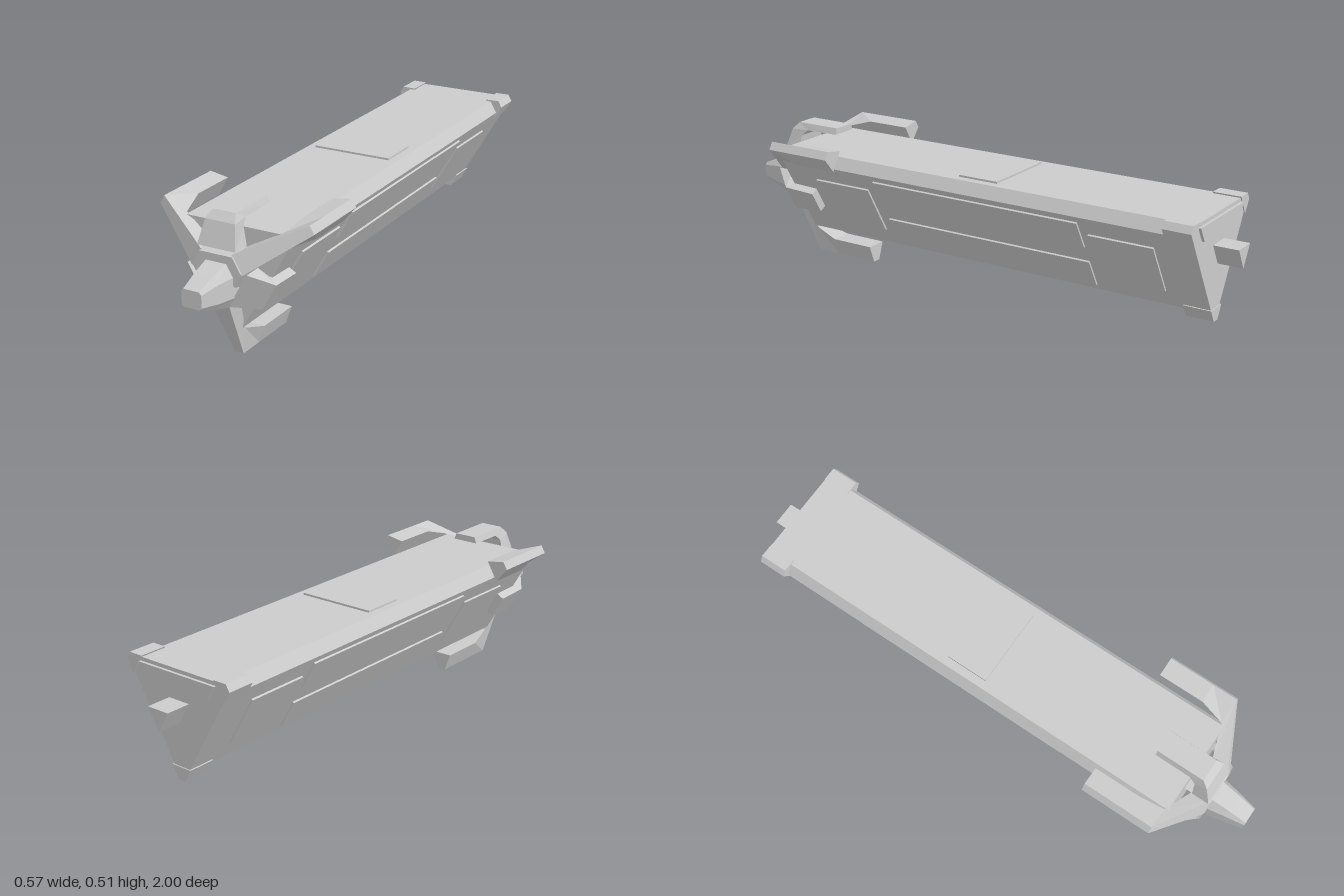
import * as THREE from 'three';

const material = new THREE.MeshStandardMaterial({ color: 0xcccccc, flatShading: true });
const AXIS_Y = 0.319; // height of the long axis with threefold symmetry

// Joins convex rings of [x, y, z] points into a closed solid.
function loft(rings) {
  const tris = [];
  const n = rings[0].length;
  for (let i = 0; i < rings.length - 1; i++) {
    const a = rings[i], b = rings[i + 1];
    for (let j = 0; j < n; j++) {
      const k = (j + 1) % n;
      tris.push([a[j], a[k], b[k]], [a[j], b[k], b[j]]);
    }
  }
  const first = rings[0], last = rings[rings.length - 1];
  for (let j = 1; j < n - 1; j++) {
    tris.push([first[0], first[j + 1], first[j]], [last[0], last[j], last[j + 1]]);
  }
  // Turn all faces outward
  let volume = 0;
  for (const t of tris) {
    const [a, b, c] = t.map((p) => new THREE.Vector3(...p));
    volume += a.dot(b.cross(c));
  }
  if (volume < 0) tris.forEach((t) => t.reverse());
  const geo = new THREE.BufferGeometry();
  geo.setAttribute('position', new THREE.Float32BufferAttribute(tris.flat(2), 3));
  geo.computeVertexNormals();
  return geo;
}

// Prism along z from a convex outline of [x, y] points.
const prism = (outline, z0, z1) =>
  loft([z0, z1].map((z) => outline.map(([x, y]) => [x, y, z])));

// Arm with four-sided sections: outer radius, z, half width, then the same for the inner side.
const arm = (sections) => loft(sections.map(([ro, zo, wo, ri, zi, wi]) =>
  [[-wo, ro, zo], [wo, ro, zo], [wi, ri, zi], [-wi, ri, zi]]));

export function createModel() {
  const model = new THREE.Group();
  model.name = 'triangularPod';
  const core = new THREE.Group();
  core.name = 'core';
  core.position.y = AXIS_Y;
  model.add(core);

  const add = (name, geo, degrees = 0) => {
    const mesh = new THREE.Mesh(geo, material);
    mesh.name = name;
    mesh.rotation.z = THREE.MathUtils.degToRad(degrees);
    core.add(mesh);
    return mesh;
  };
  const polar = (r, degrees) => {
    const a = THREE.MathUtils.degToRad(degrees);
    return [r * Math.cos(a), r * Math.sin(a)];
  };

  // Long three-sided body with cut corners
  const corners = [[0.177, 0.131], [0.202, 0.088], [0.025, -0.219],
    [-0.025, -0.219], [-0.202, 0.088], [-0.177, 0.131]];
  add('body', prism(corners, -0.91, 0.765));

  // Raised panels: one on top, six on each lower side
  const panel = (name, degrees, x0, x1, z0, z1) => {
    const geo = new THREE.BoxGeometry(x1 - x0, 0.014, z1 - z0);
    geo.translate((x0 + x1) / 2, 0.131, (z0 + z1) / 2);
    add(name, geo, degrees);
  };
  panel('topPanel', 0, -0.147, 0.147, -0.15, 0.005);
  for (const side of [-120, 120]) {
    panel('frontSidePanel', side, -0.104, 0.104, 0.39, 0.63);
    panel('rearSidePanel', side, -0.104, 0.104, -0.76, -0.52);
    panel('longSidePanel', side, 0.036, 0.153, -0.49, 0.35);
    panel('longSidePanel', side, -0.153, -0.036, -0.49, 0.35);
  }

  // Rear corner blocks, plate and connector
  for (const deg of [180, 60, -60]) {
    add('rearCornerBlock', prism([[-0.014, 0.25], [0.014, 0.25], [0.04, 0.204], [-0.04, 0.204]],
      -0.914, -0.812), deg);
  }
  add('rearPlate', prism([[-0.165, 0.118], [0.165, 0.118], [0.133, 0.064], [-0.133, 0.064]], -0.92, -0.9));
  add('rearConnector', prism([-90, 30, 150].map((d) => polar(0.05, d)), -1, -0.9));

  // Front hub and the neck joining it to the body
  const hub = (r, z) => [11, 49, 131, 169, 251, 289].map((d) => [...polar(r, d), z]);
  add('hub', loft([hub(0.107, 0.797), hub(0.107, 0.835), hub(0.09, 0.865)]));
  add('neck', prism([-90, 30, 150].map((d) => polar(0.06, d)), 0.75, 0.81));

  // Three long claws over the body corners
  const longClaw = arm([
    [0.085, 0.862, 0.036, 0.085, 0.797, 0.036],
    [0.319, 0.752, 0.016, 0.225, 0.752, 0.026],
    [0.319, 0.66, 0.016, 0.254, 0.66, 0.04],
    [0.319, 0.49, 0.016, 0.254, 0.49, 0.04],
  ]);
  for (const deg of [180, 60, -60]) add('longClaw', longClaw, deg);

  // Short claws over the three flat faces
  add('topClaw', arm([
    [0.085, 0.862, 0.07, 0.085, 0.797, 0.07],
    [0.165, 0.835, 0.055, 0.145, 0.79, 0.055],
    [0.191, 0.81, 0.042, 0.166, 0.765, 0.05],
    [0.191, 0.63, 0.042, 0.168, 0.63, 0.05],
  ]));
  const sideClaw = arm([
    [0.085, 0.862, 0.07, 0.085, 0.797, 0.07],
    [0.161, 0.785, 0.054, 0.125, 0.77, 0.052],
    [0.161, 0.66, 0.046, 0.125, 0.66, 0.046],
  ]);
  for (const deg of [-120, 120]) add('sideClaw', sideClaw, deg);

  // Tapered eight-sided nose: z, top y, half width, side y pair, half width, bottom y, half width
  const nose = [
    [0.83, 0.37, 0.045, 0.33, 0.24, 0.072, 0.205, 0.04],
    [0.86, 0.362, 0.038, 0.32, 0.25, 0.062, 0.212, 0.038],
    [0.93, 0.344, 0.033, 0.318, 0.255, 0.05, 0.232, 0.034],
    [1.0, 0.318, 0.029, 0.308, 0.266, 0.036, 0.258, 0.03],
  ].map(([z, ty, tw, sy0, sy1, sw, by, bw]) =>
    [[tw, ty], [sw, sy0], [sw, sy1], [bw, by], [-bw, by], [-sw, sy1], [-sw, sy0], [-tw, ty]]
      .map(([x, y]) => [x, y - AXIS_Y, z]));
  add('nose', loft(nose));

  // Small chin under the nose
  add('chin', loft([
    [[-0.026, -0.08, 0.84], [0.026, -0.08, 0.84], [0.026, -0.119, 0.84], [-0.026, -0.119, 0.84]],
    [[-0.013, -0.08, 0.9], [0.013, -0.08, 0.9], [0.013, -0.09, 0.9], [-0.013, -0.09, 0.9]],
  ]));

  return model;
}
